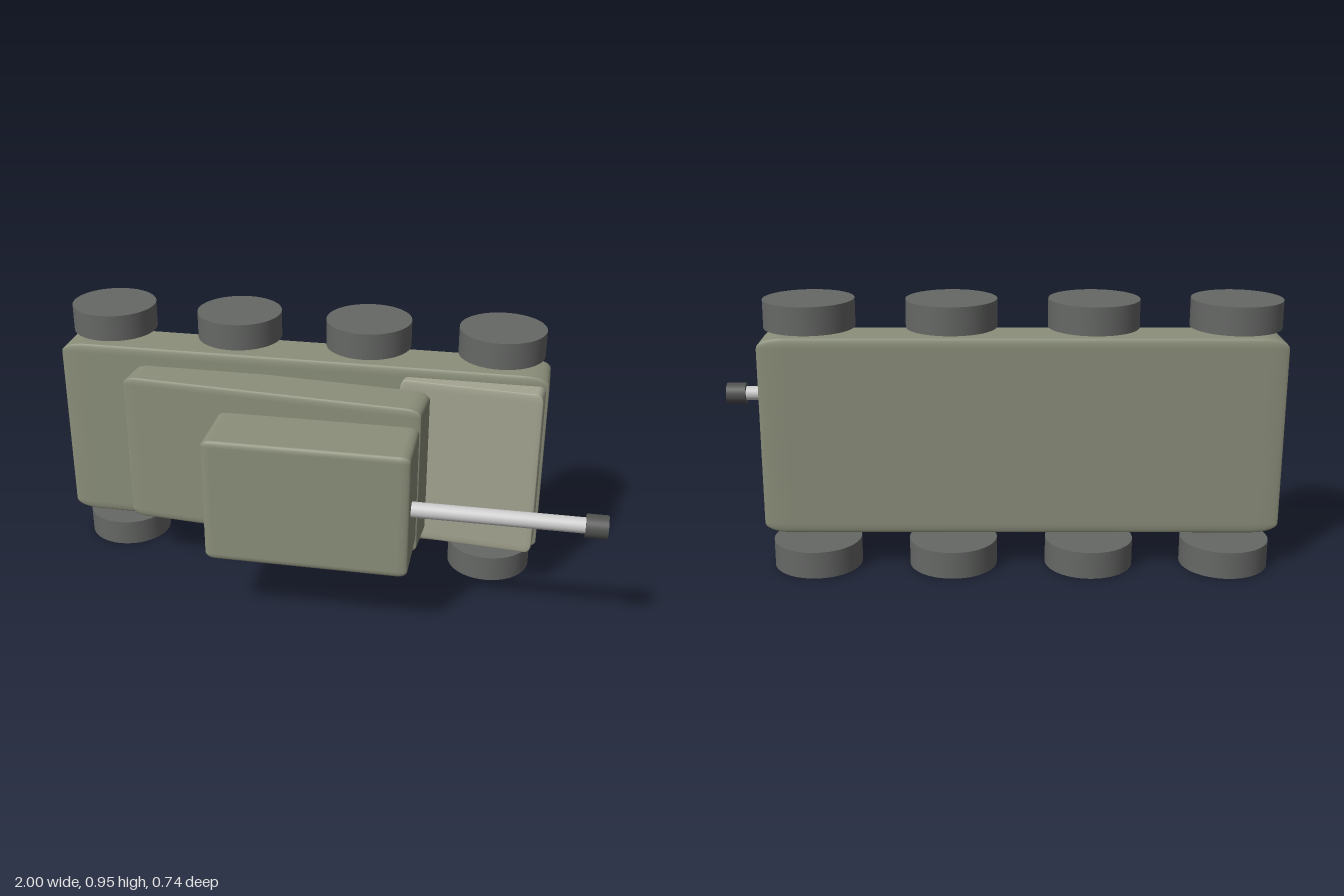
import * as THREE from 'three';
import { RoundedBoxGeometry } from 'three/addons/geometries/RoundedBoxGeometry.js';

const mat = (color) => new THREE.MeshStandardMaterial({ color });

export function createModel() {
  const model = new THREE.Group();
  const olive = mat(0x8b8f7a), sand = mat(0xa5a592), rubber = mat(0x666866);
  const dark = mat(0x505250), steel = mat(0xcccccc);

  const add = (name, geometry, material, x, y, z) => {
    const mesh = new THREE.Mesh(geometry, material);
    mesh.name = name;
    mesh.position.set(x, y, z);
    model.add(mesh);
    return mesh;
  };
  // Unit rounded box stretched to size, so the rounding stretches with it
  const block = (w, h, d) => new RoundedBoxGeometry(1, 1, 1, 4, 0.05).scale(w, h, d);
  const rodX = (radius, length) =>
    new THREE.CylinderGeometry(radius, radius, length, 32).rotateZ(-Math.PI / 2);

  // Body: the vehicle lies on its side, its roof facing +z
  add('hull', block(1.775, 0.69, 0.185), olive, -0.1125, 0.475, -0.1825);
  add('upperHull', block(1.09, 0.565, 0.167), olive, -0.18, 0.4725, -0.011).rotation.y = -0.08;
  add('frontPlate', block(0.5, 0.627, 0.09), sand, 0.513, 0.4735, -0.082).rotation.y = -0.087;
  add('turret', block(0.705, 0.455, 0.243), olive, 0.0025, 0.4725, 0.246);

  // Gun
  add('barrel', rodX(0.027, 0.64), steel, 0.65, 0.4735, 0.292);
  add('muzzle', rodX(0.04, 0.073), dark, 0.9635, 0.4735, 0.292);

  // Four wheels along each side
  const wheel = new THREE.CylinderGeometry(0.153, 0.153, 0.095, 48);
  for (let i = 0; i < 4; i++) {
    const x = -0.825 + i * 0.475;
    add('rightWheel', wheel, rubber, x, 0.0475, -0.215);
    add('leftWheel', wheel, rubber, x, 0.8985, -0.215);
  }
  return model;
}
